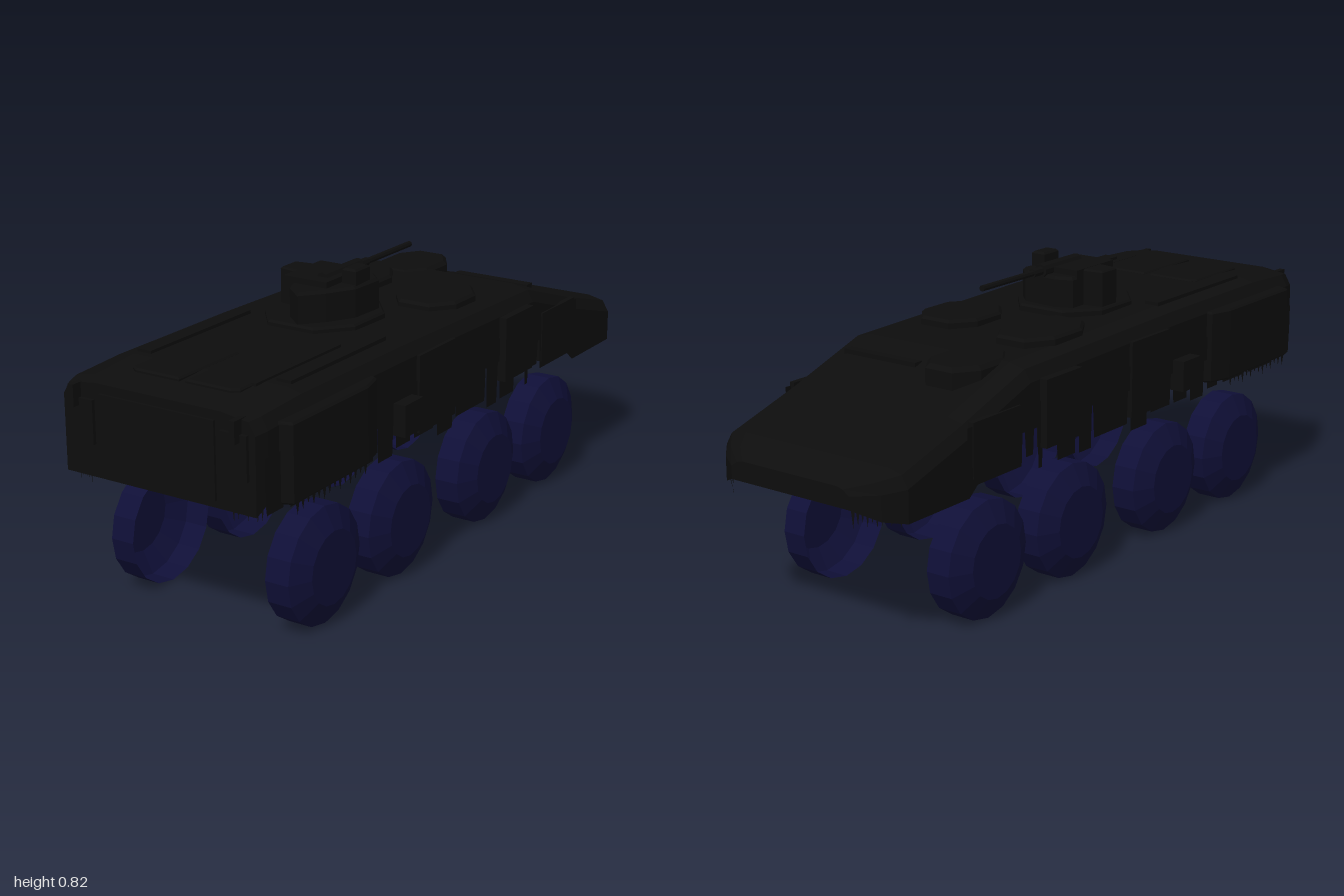
import * as THREE from 'three';

const opts = { side: THREE.DoubleSide, flatShading: true };
const black = new THREE.MeshStandardMaterial({ color: 0x0d0d0d, ...opts });
black.name = 'hull black';
const navy = new THREE.MeshStandardMaterial({ color: 0x0f0f37, ...opts });
navy.name = 'tyre navy';

export function createModel() {
  const model = new THREE.Group();
  const add = (name, geo, mat = black) => {
    const m = new THREE.Mesh(geo, mat);
    m.name = name;
    model.add(m);
    return m;
  };
  const box = (name, x0, x1, y0, y1, z0, z1) => add(name,
    new THREE.BoxGeometry(x1 - x0, y1 - y0, z1 - z0).translate((x0 + x1) / 2, (y0 + y1) / 2, (z0 + z1) / 2));
  // Upright prism from an [x, z] outline
  const slab = (name, pts, y0, y1, bevel = 0) => {
    const shape = new THREE.Shape(pts.map(p => new THREE.Vector2(p[0], p[1])));
    const g = new THREE.ExtrudeGeometry(shape, {
      depth: y1 - y0 - bevel, bevelEnabled: bevel > 0, bevelSize: bevel, bevelThickness: bevel,
      bevelOffset: -bevel, bevelSegments: 1,
    });
    return add(name, g.rotateX(Math.PI / 2).translate(0, y1 - bevel, 0));
  };
  const octagon = (x, z, rx, rz) => [[-1, -.45], [-.5, -1], [.5, -1], [1, -.45], [1, .45], [.5, 1], [-.5, 1], [-1, .45]]
    .map(p => [x + p[0] * rx, z + p[1] * rz]);
  const triMesh = (name, tris) => {
    const g = new THREE.BufferGeometry();
    g.setAttribute('position', new THREE.Float32BufferAttribute(tris.flat(), 3));
    g.computeVertexNormals();
    return add(name, g);
  };

  // Hull shell, open below: z, half width, top y, bottom y, roof half width
  const sections = [
    [0.97, 0.30, 0.665, 0.41, 0.2], [0.93, 0.31, 0.67, 0.44, 0.23], [0.76, 0.31, 0.678, 0.5, 0.24],
    [0.3, 0.31, 0.676, 0.5, 0.24], [-0.4, 0.31, 0.662, 0.5, 0.24], [-0.55, 0.31, 0.612, 0.46, 0.24],
    [-0.66, 0.31, 0.575, 0.37, 0.24], [-0.9, 0.31, 0.505, 0.37, 0.24], [-0.95, 0.265, 0.487, 0.38, 0.21],
    [-0.995, 0.2, 0.465, 0.41, 0.16],
  ];
  const rings = sections.map(([z, w, t, b, r]) => {
    const d = Math.min(0.045, (t - b) * 0.35);
    const half = [[r, t], [w - 0.02, t - d * 0.25], [w, t - d], [w, b]];
    return [...half.map(p => [-p[0], p[1], z]).reverse(), ...half.map(p => [p[0], p[1], z])];
  });
  const tris = [];
  for (let i = 0; i < rings.length - 1; i++)
    for (let j = 0; j < 7; j++) {
      const a = rings[i][j], b = rings[i][j + 1], c = rings[i + 1][j + 1], d = rings[i + 1][j];
      tris.push(...a, ...b, ...c, ...a, ...c, ...d);
    }
  // End plates
  const first = rings[0], last = rings[rings.length - 1];
  for (let j = 1; j < 7; j++) {
    tris.push(...first[0], ...first[j + 1], ...first[j]);
    tris.push(...last[0], ...last[j], ...last[j + 1]);
  }
  triMesh('hull', tris);

  // Side skirts with notched lower edges: z from, z to, bottom y
  const panels = [
    [0.95, 0.87, 0.41], [0.85, 0.7, 0.4], [0.68, 0.55, 0.4], [0.53, 0.465, 0.4], [0.45, 0.37, 0.385],
    [0.36, 0.28, 0.4], [0.27, 0.16, 0.4], [0.15, 0.06, 0.37], [0.05, -0.12, 0.395], [-0.125, -0.19, 0.37],
    [-0.2, -0.29, 0.375], [-0.3, -0.34, 0.43], [-0.35, -0.375, 0.375], [-0.39, -0.43, 0.42], [-0.44, -0.67, 0.4],
  ];
  for (const s of [-1, 1]) {
    const skirt = new THREE.Shape();
    skirt.moveTo(0.95, 0.56);
    for (const [z0, z1, b] of panels) {
      skirt.lineTo(z0, 0.49);
      skirt.lineTo(z0 - 0.004, b);
      skirt.lineTo(z1 + 0.006, b);
      skirt.lineTo(z1, 0.49);
    }
    skirt.lineTo(-0.67, 0.56);
    add('sideSkirt', new THREE.ShapeGeometry(skirt).rotateY(-Math.PI / 2).translate(s * 0.313, 0, 0));
  }

  // Pointed fringe along a lower edge between two [x, z] points
  const fringe = (name, a, b, n, top, low) => {
    const t = [];
    for (let i = 0; i < n; i++) {
      const at = (f, y) => [a[0] + (b[0] - a[0]) * f, y, a[1] + (b[1] - a[1]) * f];
      t.push(...at(i / n, top), ...at((i + 0.5) / n, low + 0.02 * ((i * 7) % 5) / 5), ...at((i + 1) / n, top));
    }
    triMesh(name, t);
  };

  for (const s of [-1, 1]) {
    fringe('noseFringe', [s * 0.2, -0.99], [s * 0.31, -0.9], 12, 0.42, 0.36);
    fringe('rearFringe', [s * 0.22, 0.965], [s * 0.31, 0.93], 8, 0.45, 0.38);
    fringe('stowageFringe', [s * 0.343, 0.87], [s * 0.343, 0.54], 14, 0.44, 0.39);

    // Side stowage, brackets and armour plates
    const mir = (name, x0, x1, ...r) => box(name, s > 0 ? x0 : -x1, s > 0 ? x1 : -x0, ...r);
    slab('sideStowage', [[0.3, 0.89], [0.345, 0.875], [0.345, 0.54], [0.325, 0.47], [0.3, 0.46]]
      .map(p => [s * p[0], p[1]]), 0.425, 0.635, 0.006);
    mir('sideBracket', 0.3, 0.35, 0.44, 0.53, 0.28, 0.37);
    mir('sidePlate', 0.3, 0.32, 0.41, 0.63, 0.06, 0.25);
    mir('forwardBox', 0.3, 0.333, 0.43, 0.62, -0.36, -0.2);
    mir('noseSidePlate', 0.3, 0.316, 0.42, 0.57, -0.65, -0.45);
    mir('rearHook', 0.243, 0.26, 0.6, 0.66, 0.95, 1.0);
    mir('rearLampBox', 0.2, 0.28, 0.5, 0.62, 0.96, 0.98);
    mir('roofEdgeStrip', 0.2, 0.245, 0.66, 0.686, 0.3, 0.74);

    // Wheels: bevelled outside, open inside
    const outline = [[0.165, 0.215], [0.165, 0.287], [0.103, 0.318], [0, 0.318]].map(p => new THREE.Vector2(...p));
    for (const z of [0.66, 0.287, -0.177, -0.556]) {
      const wheel = add('wheel', new THREE.LatheGeometry(outline, 16).rotateZ(-s * Math.PI / 2), navy);
      wheel.position.set(0, 0.168, z);
    }
  }

  // Rear ramp
  box('rearRamp', -0.18, 0.18, 0.43, 0.64, 0.965, 0.977);

  // Roof hatches and plates
  slab('rearHatchLeft', [[0.01, 0.61], [0.16, 0.61], [0.17, 0.63], [0.17, 0.85], [0.15, 0.865], [0.01, 0.865]], 0.66, 0.683, 0.005);
  slab('rearHatchRight', [[-0.01, 0.61], [-0.16, 0.61], [-0.17, 0.63], [-0.17, 0.85], [-0.15, 0.865], [-0.01, 0.865]], 0.66, 0.683, 0.005);
  box('roofRail', 0.165, 0.18, 0.66, 0.684, 0.42, 0.8);
  slab('roofHatchRight', octagon(-0.15, -0.14, 0.095, 0.14), 0.65, 0.69, 0.008);
  slab('roofHatchLeft', octagon(0.145, -0.12, 0.1, 0.12), 0.65, 0.69, 0.008);
  slab('driverHatch', octagon(-0.13, -0.44, 0.09, 0.12), 0.6, 0.668, 0.012);
  box('enginePlate', 0.0, 0.25, 0.6, 0.642, -0.5, -0.47);

  // Turret
  slab('turretBase', octagon(-0.02, 0.2, 0.15, 0.165), 0.66, 0.692, 0.006);
  slab('turretBody', [[-0.1, 0.08], [-0.05, 0.06], [0.06, 0.07], [0.1, 0.11], [0.095, 0.22], [0.05, 0.3],
    [0.0, 0.36], [-0.06, 0.31], [-0.1, 0.23]], 0.68, 0.78, 0.008);
  slab('turretSideBox', [[-0.16, 0.14], [-0.09, 0.13], [-0.09, 0.22], [-0.16, 0.21]], 0.68, 0.796, 0.005);
  box('turretRoof', -0.1, 0.04, 0.77, 0.797, 0.1, 0.28);
  slab('turretSight', [[0.045, 0.14], [0.09, 0.14], [0.09, 0.21], [0.045, 0.21]], 0.76, 0.823, 0.006);
  add('gunMount', new THREE.CylinderGeometry(0.02, 0.02, 0.18, 10).rotateX(Math.PI / 2).translate(0, 0.79, 0.15));
  add('gunSleeve', new THREE.CylinderGeometry(0.013, 0.013, 0.05, 8).rotateX(Math.PI / 2).translate(0, 0.79, 0.045));
  add('gunBarrel', new THREE.CylinderGeometry(0.009, 0.009, 0.27, 8).rotateX(Math.PI / 2).translate(0, 0.79, -0.075));

  return model;
}
